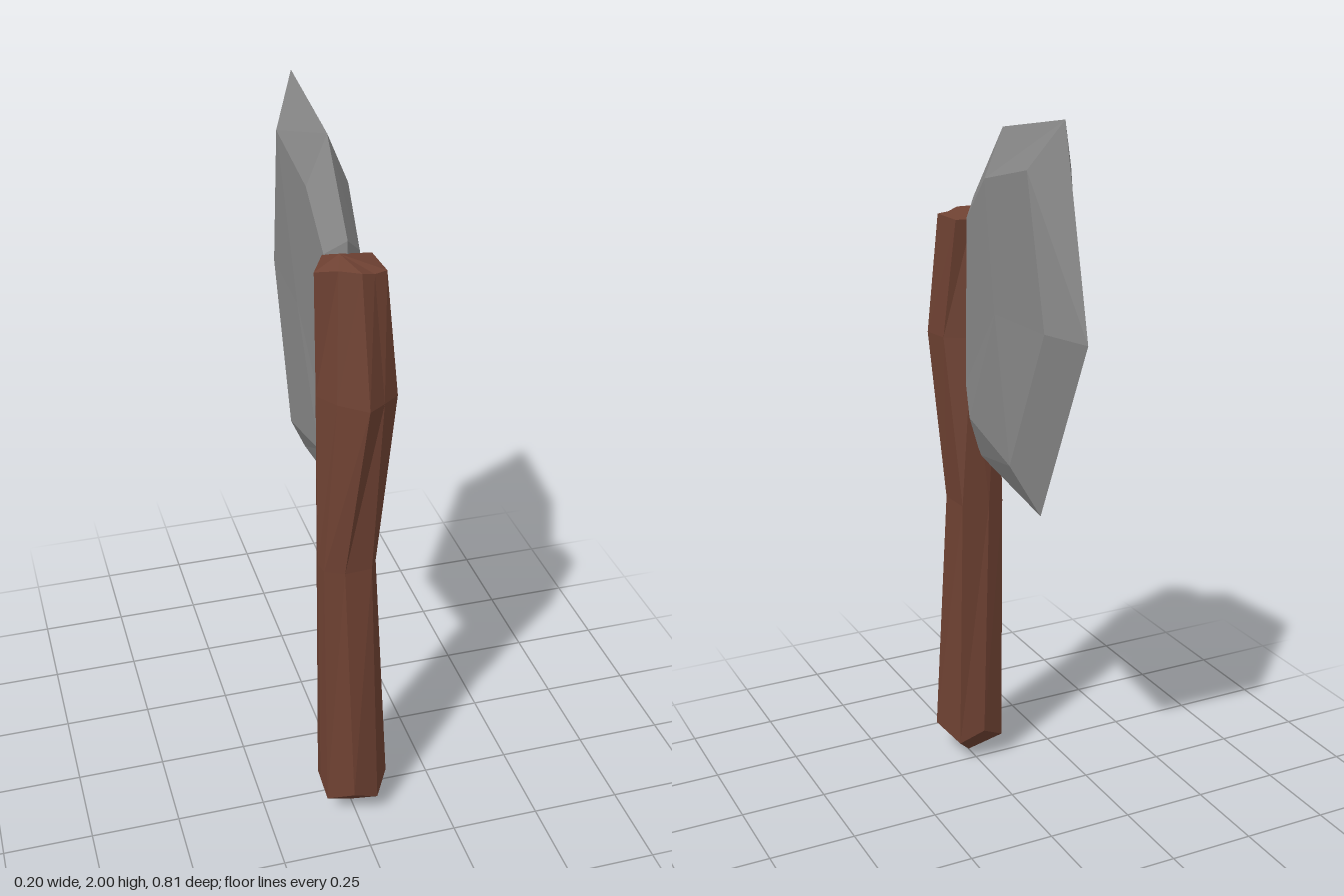
import * as THREE from 'three';

// Skins a stack of equal-length rings and closes both ends with a fan to a point.
// Rings run counter-clockwise when seen from the last ring's end.
function loft(rings, startTip, endTip) {
  const pos = [];
  const tri = (a, b, c) => pos.push(...a, ...b, ...c);
  const n = rings[0].length;
  const last = rings[rings.length - 1];
  for (let i = 0; i < n; i++) {
    const j = (i + 1) % n;
    for (let r = 0; r + 1 < rings.length; r++) {
      const lo = rings[r], hi = rings[r + 1];
      tri(lo[i], lo[j], hi[j]);
      tri(lo[i], hi[j], hi[i]);
    }
    tri(startTip, rings[0][j], rings[0][i]);
    tri(endTip, last[i], last[j]);
  }
  const g = new THREE.BufferGeometry();
  g.setAttribute('position', new THREE.Float32BufferAttribute(pos, 3));
  g.computeVertexNormals();
  return g;
}

export function createModel() {
  const wood = new THREE.MeshStandardMaterial({ color: 0x6e4132, flatShading: true });
  wood.name = 'brown wood';
  const steel = new THREE.MeshStandardMaterial({ color: 0x888888, flatShading: true });
  steel.name = 'grey steel';

  const group = new THREE.Group();
  group.name = 'axe';
  const add = (name, geometry, material) => {
    const mesh = new THREE.Mesh(geometry, material);
    mesh.name = name;
    group.add(mesh);
  };

  // Handle: uneven eight-sided rings, foot to head, ending in a pointed foot
  const level = (y, pts) => pts.map(([x, z]) => [x, y, z]);
  const foot = level(0.1, [[-0.02, 0.405], [0.055, 0.385], [0.098, 0.325], [0.06, 0.235],
    [-0.01, 0.21], [-0.08, 0.235], [-0.093, 0.31], [-0.085, 0.355]]);
  foot.forEach((p, i) => { p[1] = i % 2 ? 0.07 : 0.11; });
  const grip = level(0.85, [[-0.04, 0.36], [0.035, 0.355], [0.056, 0.32], [0.05, 0.22],
    [-0.03, 0.21], [-0.08, 0.225], [-0.097, 0.3], [-0.09, 0.335]]);
  const bulge = level(1.35, [[0.008, 0.402], [0.055, 0.37], [0.1, 0.335], [0.087, 0.255],
    [0.02, 0.21], [-0.06, 0.21], [-0.098, 0.285], [-0.06, 0.345]]);
  const head = level(1.685, [[0, 0.345], [0.035, 0.333], [0.07, 0.32], [0.066, 0.21],
    [0.02, 0.202], [-0.055, 0.19], [-0.102, 0.285], [-0.05, 0.315]]);
  head[0][1] = head[7][1] = 1.695;
  add('handle', loft([foot, grip, bulge, head], [0, 0.002, 0.305], [-0.03, 1.712, 0.255]), wood);

  // Blade: a sharp rim [z, y] between two raised, bevelled cheeks [z, y, half thickness]
  const cx = -0.008;
  const rim = [[0.22, 1.0], [-0.155, 0.94], [-0.4, 1.47], [-0.27, 2.0], [0.07, 1.945], [0.25, 1.74], [0.25, 1.25]];
  const cheek = [[0.18, 1.13, 0.052], [-0.085, 1.07, 0.058], [-0.27, 1.475, 0.053],
    [-0.188, 1.872, 0.062], [0.07, 1.815, 0.054], [0.2, 1.69, 0.046], [0.215, 1.22, 0.046]];
  const side = (s) => cheek.map(([z, y, t]) => [cx + s * t, y, z]);
  const edge = rim.map(([z, y]) => [cx, y, z]);
  add('blade', loft([side(-1), edge, side(1)], [cx - 0.06, 1.47, 0], [cx + 0.06, 1.47, 0]), steel);

  return group;
}
